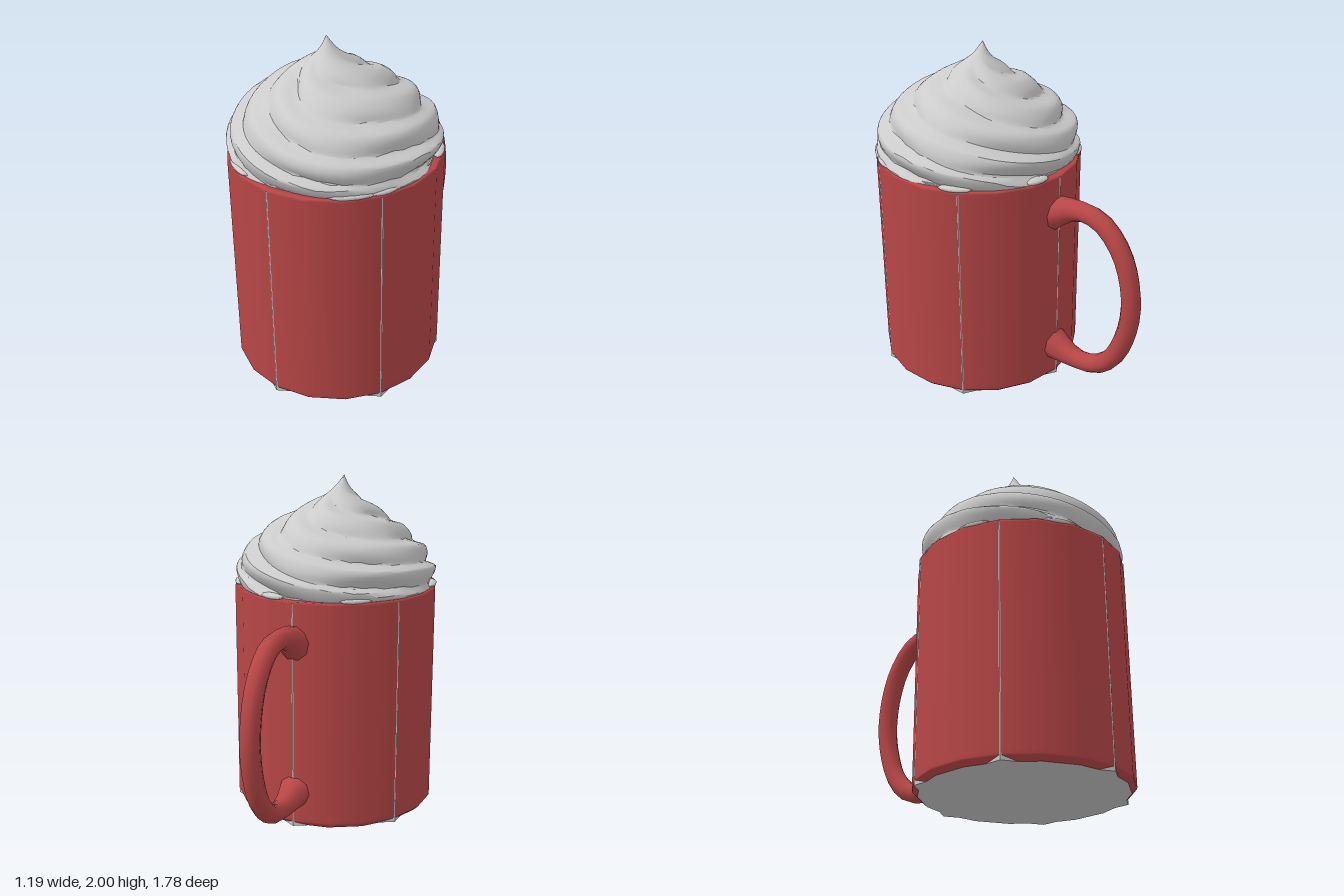
import * as THREE from 'three';
import { mergeVertices, toCreasedNormals } from 'three/addons/utils/BufferGeometryUtils.js';

const V2 = (x, y) => new THREE.Vector2(x, y);

// Swirled cream: a turned dome with four shallow helical ridges pressed into it
function creamGeometry() {
  const profile = new THREE.SplineCurve([
    V2(0.585, 1.345), V2(0.597, 1.42), V2(0.585, 1.49), V2(0.535, 1.56), V2(0.465, 1.635),
    V2(0.36, 1.715), V2(0.265, 1.775), V2(0.175, 1.83), V2(0.1, 1.88), V2(0.045, 1.93), V2(0, 2),
  ]);
  let geo = new THREE.LatheGeometry(profile.getPoints(52), 54);
  const pos = geo.attributes.position;
  for (let i = 0; i < pos.count; i++) {
    const x = pos.getX(i), y = pos.getY(i), z = pos.getZ(i);
    const r = Math.hypot(x, z), a = Math.atan2(x, z);
    const turn = y / 0.125 + (4 * a) / (2 * Math.PI) + 0.15 * Math.sin(2 * a + 1);
    const f = turn - Math.floor(turn);
    const ridge = f < 0.72 ? Math.sin((f / 0.72) * Math.PI / 2) : (1 - f) / 0.28;
    const fade = THREE.MathUtils.clamp((r - 0.05) / 0.2, 0, 1);
    const depth = 0.042 * fade * (1 + 0.35 * Math.sin(5 * a + 9 * y));
    const k = r > 1e-4 ? (r + depth * (ridge - 0.9)) / r : 0;
    const lean = -0.05 * Math.max(0, (y - 1.7) / 0.3);
    const lift = y < 1.4 ? 0 : 0.012 * ridge * fade;
    pos.setXYZ(i, x * k + lean, y + lift, z * k);
  }
  geo.deleteAttribute('uv');
  geo.deleteAttribute('normal');
  geo = mergeVertices(geo, 1e-4);
  return toCreasedNormals(geo, 0.6);
}

// Handle: a tube that swells where it meets the mug
function handleGeometry() {
  const path = new THREE.CatmullRomCurve3([
    [1.11, -0.265], [1.162, -0.38], [1.182, -0.5], [1.152, -0.62], [1.03, -0.74], [0.87, -0.807],
    [0.67, -0.832], [0.48, -0.803], [0.3, -0.725], [0.2, -0.61], [0.174, -0.46], [0.22, -0.265],
  ].map(([y, z]) => new THREE.Vector3(0, y, z)));
  const rows = 24, sides = 10;
  const geo = new THREE.TubeGeometry(path, rows, 0.058, sides);
  const pos = geo.attributes.position, v = new THREE.Vector3();
  for (let i = 0; i <= rows; i++) {
    const centre = path.getPointAt(i / rows);
    const end = Math.min(i, rows - i) / rows;
    const swell = 1 + 0.85 * Math.max(0, 1 - end / 0.12) ** 1.4;
    for (let j = 0; j <= sides; j++) {
      const n = i * (sides + 1) + j;
      v.fromBufferAttribute(pos, n).sub(centre).multiplyScalar(swell).add(centre);
      pos.setXYZ(n, v.x, v.y, v.z);
    }
  }
  geo.deleteAttribute('uv');
  geo.deleteAttribute('normal');
  const smooth = mergeVertices(geo, 1e-4);
  smooth.computeVertexNormals();
  return smooth;
}

export function createModel() {
  const model = new THREE.Group();
  const red = new THREE.MeshStandardMaterial({ color: 0xb84646, side: THREE.DoubleSide });
  const grey = new THREE.MeshStandardMaterial({ color: 0xcccccc });
  const add = (name, geo, mat, parent = model) => {
    const mesh = new THREE.Mesh(geo, mat);
    mesh.name = name;
    parent.add(mesh);
    return mesh;
  };

  // Mug body, cream and lining share one upright axis
  const cup = new THREE.Group();
  cup.name = 'cup';
  cup.position.z = 0.286;
  model.add(cup);

  const wall = [
    V2(0.575, 0), V2(0.603, 0.025), V2(0.605, 0.035), V2(0.605, 0.055), V2(0.605, 1.345),
    V2(0.603, 1.36), V2(0.56, 1.36), V2(0.55, 1.34),
  ];
  add('mugWall', new THREE.LatheGeometry(wall, 18), red, cup);

  // Six-sided lining whose corners show as thin seams and base corners
  const lining = new THREE.CylinderGeometry(0.607, 0.607, 1.35, 6);
  add('lining', toCreasedNormals(lining, 0.5), grey, cup).position.y = 0.675;

  const base = add('base', new THREE.CircleGeometry(0.575, 18, Math.PI / 2), grey, cup);
  base.rotation.x = Math.PI / 2;

  add('cream', creamGeometry(), grey, cup);

  // Cream filling the mouth and spilling a little over the rim
  add('creamBed', new THREE.CylinderGeometry(0.565, 0.565, 0.03, 18), grey, cup).position.y = 1.355;
  for (const [deg, size] of [[-27, 0.11], [45, 0.13], [62, 0.09], [118, 0.1], [165, 0.08], [215, 0.1], [285, 0.1]]) {
    const a = THREE.MathUtils.degToRad(deg);
    const drip = add('rimCream', new THREE.SphereGeometry(1, 10, 6), grey, cup);
    drip.scale.set(size, 0.018, 0.035);
    drip.position.set(0.572 * Math.sin(a), 1.368, 0.572 * Math.cos(a));
    drip.rotation.y = a;
  }

  add('handle', handleGeometry(), red);
  return model;
}
